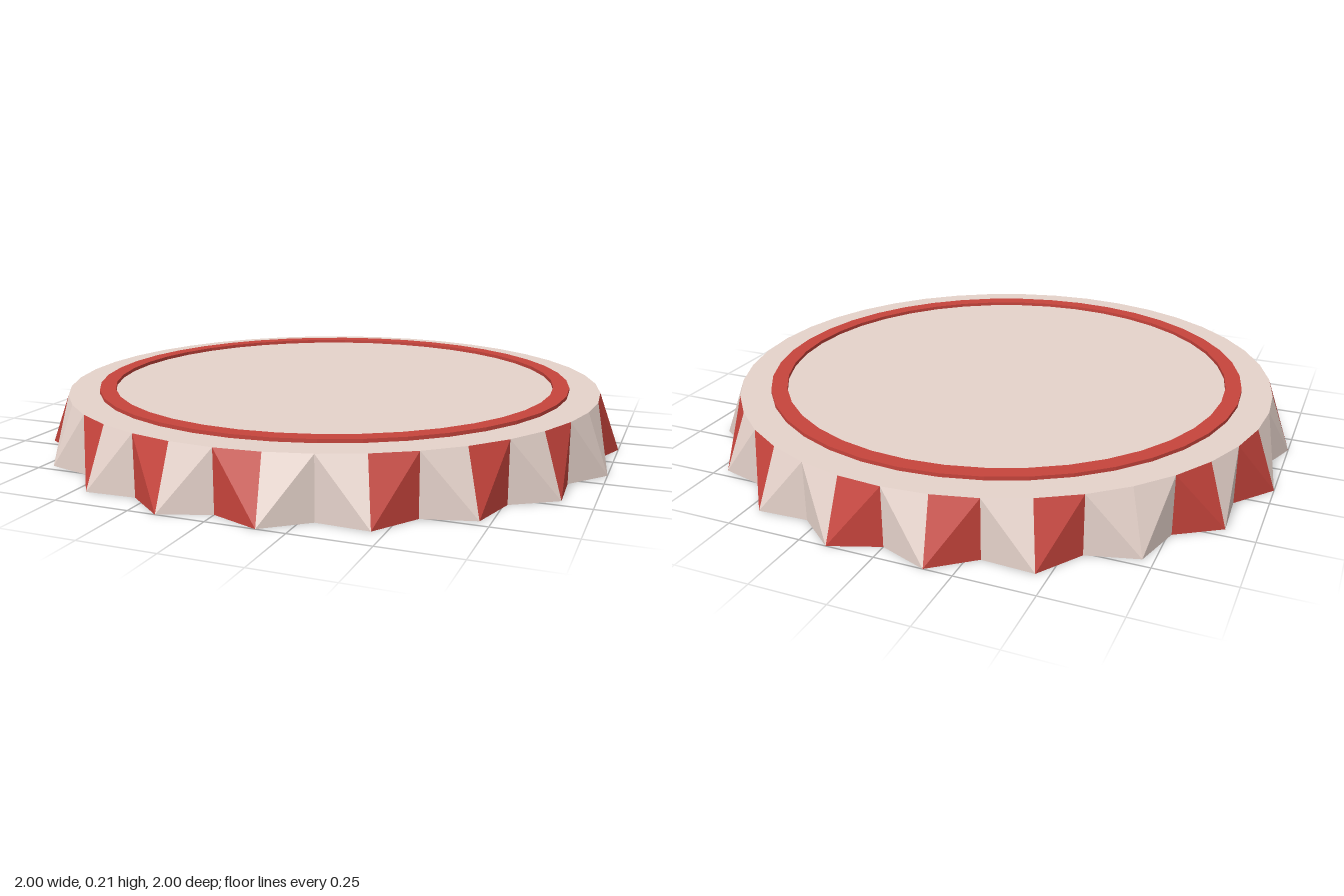
import * as THREE from 'three';

const SIDES = 40;            // 20 flutes, two faces each
const HEIGHT = 0.2, INNER = 0.94, OUTER = 1.0125;
const RED_FACES = new Set([0, 3, 5, 7, 10, 12, 14, 16, 19, 21, 23, 26, 28, 31, 33, 36, 38]);

const cream = new THREE.MeshStandardMaterial({ color: 0xe6d3cb, flatShading: true });
const red = new THREE.MeshStandardMaterial({ color: 0xc6443c, flatShading: true });

// Point on the rim: even steps are valleys, odd steps are flute tips
function rim(step, y) {
  const a = (step / SIDES) * Math.PI * 2;
  const r = y === 0 && step % 2 ? OUTER : INNER;
  return [Math.sin(a) * r, y, Math.cos(a) * r];
}

function addMesh(group, name, geometry, material) {
  const mesh = new THREE.Mesh(geometry, material);
  mesh.name = name;
  group.add(mesh);
}

function fromTriangles(points) {
  const geometry = new THREE.BufferGeometry();
  geometry.setAttribute('position', new THREE.Float32BufferAttribute(points.flat(), 3));
  geometry.computeVertexNormals();
  return geometry;
}

export function createModel() {
  const group = new THREE.Group();
  group.name = 'bottleCap';

  const redSkirt = [], creamSkirt = [], top = [], bottom = [];
  for (let i = 0; i < SIDES; i++) {
    const t0 = rim(i, HEIGHT), t1 = rim(i + 1, HEIGHT);
    const b0 = rim(i, 0), b1 = rim(i + 1, 0);
    const skirt = RED_FACES.has(i) ? redSkirt : creamSkirt;
    // The fold of each face runs from the valley top to the flute tip
    if (i % 2 === 0) skirt.push(t0, b0, b1, t0, b1, t1);
    else skirt.push(t0, b0, t1, b0, b1, t1);
    top.push([0, HEIGHT, 0], t0, t1);
    bottom.push([0, 0, 0], b1, b0);
  }
  addMesh(group, 'redSkirtFaces', fromTriangles(redSkirt), red);
  addMesh(group, 'creamSkirtFaces', fromTriangles(creamSkirt), cream);
  addMesh(group, 'topDisc', fromTriangles(top), cream);
  addMesh(group, 'fluted base', fromTriangles(bottom), cream);

  // Raised ring on the top
  const profile = [[0.835, HEIGHT], [0.835, 0.212], [0.78, 0.212], [0.78, HEIGHT]]
    .map(([r, y]) => new THREE.Vector2(r, y));
  addMesh(group, 'topRing', new THREE.LatheGeometry(profile, SIDES), red);

  return group;
}
